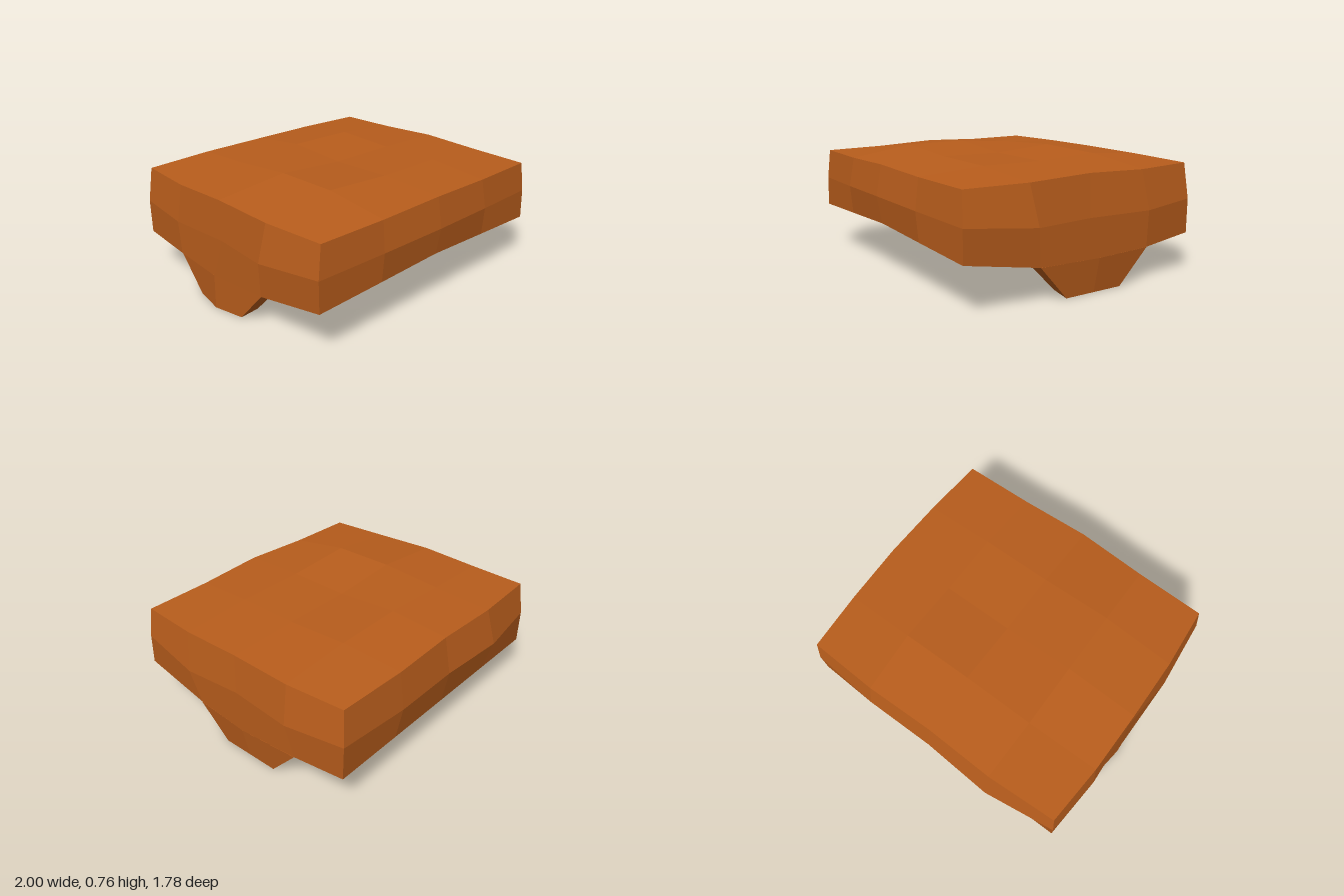
import * as THREE from 'three';

const leather = new THREE.MeshStandardMaterial({ color: 0xb85d1c });
leather.name = 'brown leather';

// Builds a geometry from four-cornered faces, each with one flat normal
function facetGeometry(quads) {
  const positions = [];
  const normals = [];
  for (const quad of quads) {
    const [a, b, c, d] = quad.map((p) => new THREE.Vector3(...p));
    const n = c.clone().sub(a).cross(d.clone().sub(b)).normalize();
    for (const p of [a, b, c, a, c, d]) {
      positions.push(p.x, p.y, p.z);
      normals.push(n.x, n.y, n.z);
    }
  }
  const g = new THREE.BufferGeometry();
  g.setAttribute('position', new THREE.Float32BufferAttribute(positions, 3));
  g.setAttribute('normal', new THREE.Float32BufferAttribute(normals, 3));
  return g;
}

const xs = [-1, -0.5, 0, 0.5, 1];
const same = (v, n = 5) => Array(n).fill(v);
// Five points from x0 to x1
const row = (x0, x1, ys, zs) => xs.map((t, i) => [THREE.MathUtils.lerp(x0, x1, (t + 1) / 2), ys[i], zs[i]]);
// Three points from front to back along one side
const column = (x, ys, zs) => x.map((v, i) => [v, ys[i], zs[i]]);

// A 16-point ring, anticlockwise from above
const ring = (front, left, back, right) =>
  [...front, ...left, ...back.slice().reverse(), ...right.slice().reverse()];

function shellGeometry() {
  const edgeY = [0.705, 0.72, 0.705];
  const edgeZ = [0.42, 0, -0.41];
  const top = ring(
    row(-0.93, 0.915, [0.705, 0.705, 0.72, 0.705, 0.705], [0.828, 0.838, 0.853, 0.838, 0.828]),
    column([0.943, 0.948, 0.943], edgeY, edgeZ),
    row(-0.93, 0.915, [0.71, 0.715, 0.72, 0.715, 0.71], [-0.803, -0.827, -0.813, -0.823, -0.803]),
    column([-0.96, -0.965, -0.96], edgeY, edgeZ));
  const middle = ring(
    row(-0.958, 0.94, [0.505, 0.515, 0.525, 0.515, 0.505], [0.84, 0.867, 0.887, 0.867, 0.84]),
    column([0.995, 0.96, 0.995], same(0.46, 3), [0.39, 0, -0.43]),
    row(-0.955, 0.94, same(0.48), [-0.825, -0.89, -0.86, -0.863, -0.825]),
    column([-1, -0.965, -0.99], same(0.46, 3), [0.39, 0, -0.43]));
  const flapZ = [0.35, -0.05, -0.46];
  const rimOuter = ring(
    row(-0.958, 0.943, [0.31, 0.33, 0.35, 0.33, 0.31], [0.843, 0.85, 0.855, 0.85, 0.843]),
    column([0.955, 0.985, 0.955], same(0.22, 3), flapZ),
    row(-0.955, 0.943, same(0.26), same(-0.82)),
    column([-0.96, -0.997, -0.96], same(0.22, 3), flapZ));
  const rimInner = ring(
    row(-0.835, 0.835, [0.32, 0.34, 0.355, 0.34, 0.32], same(0.742)),
    column(same(0.835, 3), same(0.22, 3), flapZ),
    row(-0.835, 0.835, same(0.28), same(-0.73)),
    column(same(-0.835, 3), same(0.22, 3), flapZ));
  const middleInner = ring(
    row(-0.84, 0.835, [0.485, 0.49, 0.495, 0.49, 0.485], [0.743, 0.765, 0.785, 0.765, 0.743]),
    column([0.87, 0.85, 0.87], same(0.46, 3), [0.38, 0, -0.41]),
    row(-0.84, 0.835, same(0.47), [-0.73, -0.785, -0.76, -0.76, -0.73]),
    column([-0.875, -0.85, -0.87], same(0.46, 3), [0.38, 0, -0.41]));
  const ceiling = ring(
    row(-0.835, 0.825, [0.62, 0.615, 0.625, 0.615, 0.62], [0.738, 0.745, 0.758, 0.745, 0.738]),
    column(same(0.845, 3), [0.615, 0.625, 0.615], [0.4, 0, -0.4]),
    row(-0.835, 0.825, same(0.62), [-0.72, -0.735, -0.725, -0.735, -0.72]),
    column(same(-0.855, 3), [0.615, 0.625, 0.615], [0.4, 0, -0.4]));

  const quads = [];

  // Walls and rim, from the inner ceiling round the lip to the top edge
  const rings = [ceiling, middleInner, rimInner, rimOuter, middle, top];
  for (let r = 0; r < rings.length - 1; r++) {
    for (let i = 0; i < 16; i++) {
      const j = (i + 1) % 16;
      quads.push([rings[r][i], rings[r][j], rings[r + 1][j], rings[r + 1][i]]);
    }
  }

  // Cushioned panel closing a ring, with given heights in the middle
  function panel(edge, heights, up) {
    const grid = [];
    for (let r = 0; r < 5; r++) {
      grid.push(xs.map((t, c) => {
        if (r === 0) return edge[c];
        if (r === 4) return edge[12 - c];
        if (c === 0) return edge[16 - r];
        if (c === 4) return edge[4 + r];
        return [t * 0.95, heights[r - 1][c - 1], 0.42 - (r - 1) * 0.42];
      }));
    }
    for (let r = 0; r < 4; r++) {
      for (let c = 0; c < 4; c++) {
        const q = [grid[r][c], grid[r][c + 1], grid[r + 1][c + 1], grid[r + 1][c]];
        quads.push(up ? q : q.reverse());
      }
    }
  }
  const crown = [[0.765, 0.738, 0.735], [0.765, 0.73, 0.73], [0.732, 0.758, 0.75]];
  panel(top, crown, true);
  panel(ceiling, crown.map((line) => line.map((y) => y - 0.1)), false);
  return facetGeometry(quads);
}

// Tapered hanging flap of three cross-sections from front to back
function flapGeometry(side, topCentre, bottomCentre, bottomEnd, bottomInner, innerLift) {
  const sections = [1, 0, -1].map((k) => {
    const zTop = -0.055 + k * 0.405;
    const zBottom = -0.055 + k * 0.205;
    return [
      [side * (k ? 0.957 : topCentre), 0.22, zTop],
      [side * (k ? bottomEnd : bottomCentre), 0, zBottom],
      [side * bottomInner, innerLift, zBottom],
      [side * 0.835, 0.22, zTop],
    ];
  });
  const quads = [sections[0].slice().reverse(), sections[2]];
  for (let s = 0; s < 2; s++) {
    for (let i = 0; i < 4; i++) {
      const j = (i + 1) % 4;
      quads.push([sections[s][i], sections[s][j], sections[s + 1][j], sections[s + 1][i]]);
    }
  }
  return facetGeometry(side > 0 ? quads : quads.map((q) => q.reverse()));
}

export function createModel() {
  const model = new THREE.Group();
  model.name = 'paddedCover';
  const add = (name, geometry) => {
    const mesh = new THREE.Mesh(geometry, leather);
    mesh.name = name;
    model.add(mesh);
  };
  add('hollowShell', shellGeometry());
  add('leftFlap', flapGeometry(1, 0.985, 0.94, 0.94, 0.82, 0.02));
  add('rightFlap', flapGeometry(-1, 0.997, 1, 0.96, 0.835, 0.01));
  return model;
}
